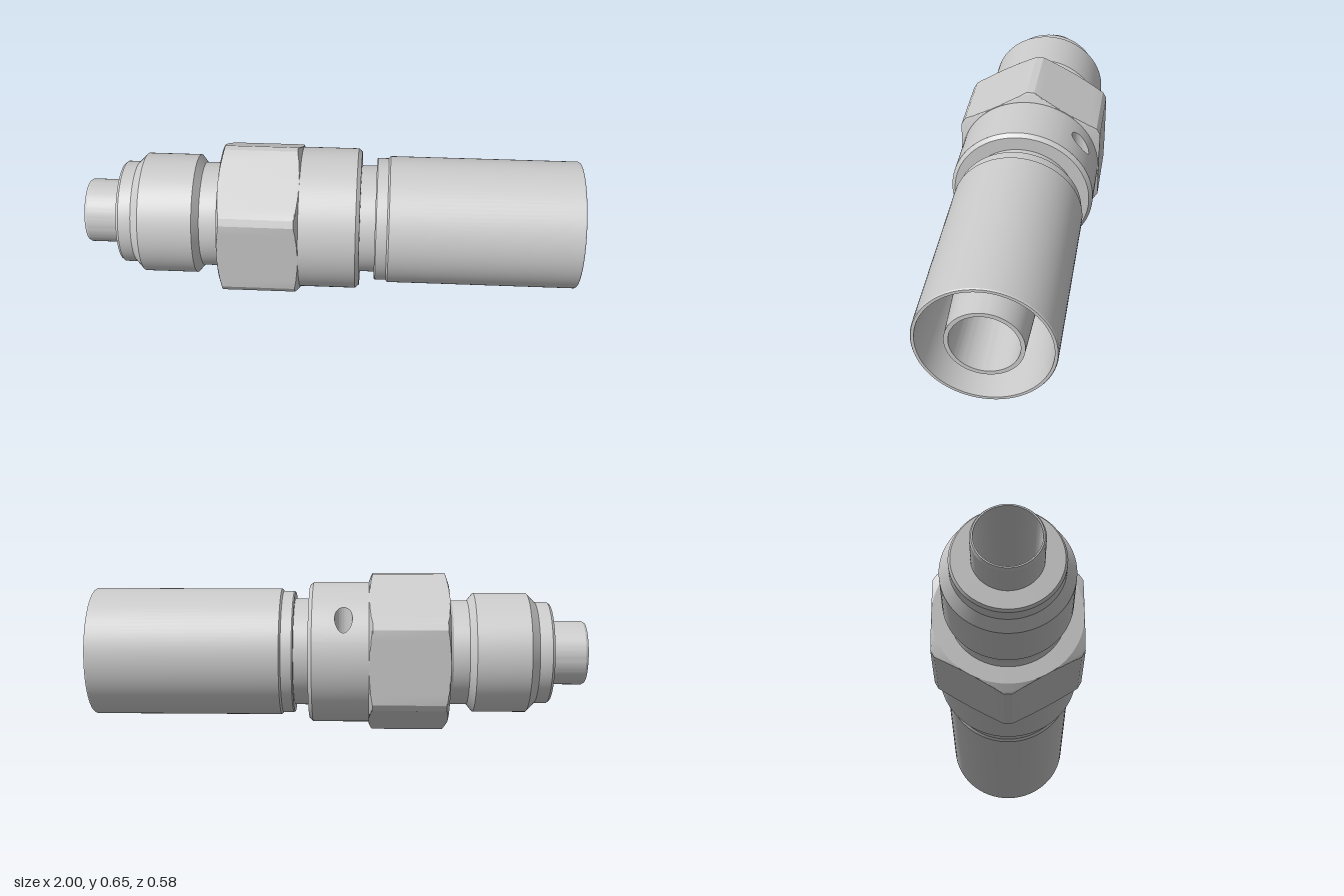
import * as THREE from 'three';
import { toCreasedNormals } from 'three/addons/utils/BufferGeometryUtils.js';

const CREASE = 0.35;
const SEG = 96;
const grey = new THREE.MeshStandardMaterial({ color: 0xcccccc, side: THREE.DoubleSide });

// Turned part along x from [x, radius] pairs
function turned(name, profile, start = 0, length = Math.PI * 2) {
  const geo = new THREE.LatheGeometry(profile.map(([x, r]) => new THREE.Vector2(r, x)), SEG, start, length);
  geo.rotateZ(-Math.PI / 2);
  return finish(name, geo);
}

// Skin over closed loops of [x, y, z] points
function loft(name, loops) {
  const n = loops[0].length;
  const index = [];
  for (let i = 0; i < loops.length - 1; i++) {
    for (let j = 0; j < n; j++) {
      const k = (j + 1) % n;
      const a = i * n + j, b = i * n + k, c = a + n, d = b + n;
      index.push(a, b, d, a, d, c);
    }
  }
  const geo = new THREE.BufferGeometry();
  geo.setAttribute('position', new THREE.Float32BufferAttribute(loops.flat(2), 3));
  geo.setIndex(index);
  return finish(name, geo);
}

function finish(name, geo) {
  const mesh = new THREE.Mesh(toCreasedNormals(geo, CREASE), grey);
  mesh.name = name;
  return mesh;
}

// Hexagon with flattened corners, trimmed by a chamfer cone at both ends
function hexNut() {
  const flat = 0.29, corner = 0.326, x0 = -0.44, x1 = -0.12, bevel = 0.014;
  const edge = Math.atan((corner / flat - Math.cos(Math.PI / 6)) / 0.5);
  const angles = [];
  for (let s = 0; s < 6; s++) {
    const mid = Math.PI / 6 + s * Math.PI / 3;
    for (let i = 0; i < 24; i++) angles.push([mid, -edge + (2 * edge * i) / 24]);
    for (let i = 0; i < 4; i++) angles.push([mid, edge + ((Math.PI / 3 - 2 * edge) * i) / 4]);
  }
  const radius = (a) => (a <= edge + 1e-6 ? flat / Math.cos(a) : corner / Math.cos(a - Math.PI / 6));
  const loop = (x, cap) => angles.map(([mid, a]) => {
    const r = Math.min(radius(a), cap);
    return [x, r * Math.cos(mid + a), r * Math.sin(mid + a)];
  });
  const rings = [[0, 0.18]];
  for (let i = 0; i <= 6; i++) rings.push([(bevel * i) / 6, flat + ((corner + 0.002 - flat) * i) / 6]);
  return loft('hexNut', [
    ...rings.map(([d, cap]) => loop(x0 + d, cap)),
    ...rings.reverse().map(([d, cap]) => loop(x1 - d, cap)),
  ]);
}

// Collar barrel with a blind hole drilled straight down off-centre
function drilledCollar() {
  const group = new THREE.Group();
  group.name = 'collar';
  const R = 0.287, xa = -0.13, xb = 0.105;
  const hole = { x: -0.02, z: -0.22, r: 0.035, floor: 0.04 };
  const mid = Math.asin(hole.z / R), half = 0.35;

  group.add(turned('collarBarrel', [[xa, R], [xb, R]], mid + half - Math.PI / 2, Math.PI * 2 - 2 * half));
  group.add(turned('collarEnd', [[xb, R], [0.12, 0.273], [0.12, 0.2]]));

  const turns = Array.from({ length: 64 }, (_, i) => (i / 64) * Math.PI * 2);
  const disc = (r) => turns.map((a) => [hole.x + r * Math.cos(a), hole.floor, hole.z + r * Math.sin(a)]);
  // Wrapped patch: t = 0 at the hole rim, t = 1 at the rectangular border
  const patch = (t) => turns.map((a) => {
    const c = Math.cos(a), s = Math.sin(a), m = Math.max(Math.abs(c), Math.abs(s));
    const rim = Math.asin((hole.z + hole.r * s) / R);
    const x = THREE.MathUtils.lerp(hole.x + hole.r * c, (xa + xb) / 2 + ((xb - xa) / 2) * (c / m), t);
    const angle = THREE.MathUtils.lerp(rim, mid + half * (s / m), t);
    return [x, R * Math.cos(angle), R * Math.sin(angle)];
  });
  const steps = Array.from({ length: 9 }, (_, i) => patch(i / 8));
  group.add(loft('drilledHole', [disc(0.0005), disc(hole.r), ...steps]));
  return group;
}

export function createModel() {
  const model = new THREE.Group();
  model.name = 'hoseFitting';
  const body = new THREE.Group();
  body.name = 'fittingBody';
  body.position.y = 0.326;
  model.add(body);

  // Through tube: plain at one end, tapered nipple at the other
  body.add(turned('innerTube', [
    [-1, 0.118], [-1, 0.124], [-0.99, 0.13], [0.2, 0.13], [0.2, 0.173], [0.3, 0.173],
    [0.99, 0.143], [0.99, 0.127], [0.2, 0.108], [-0.5, 0.108], [-1, 0.118],
  ]));

  // Stepped nose, barrel and neck
  body.add(turned('noseBarrel', [
    [-0.855, 0.125], [-0.855, 0.2], [-0.845, 0.208], [-0.795, 0.208], [-0.79, 0.213],
    [-0.76, 0.244], [-0.545, 0.244], [-0.52, 0.213], [-0.455, 0.213], [-0.44, 0.222],
  ]));

  body.add(hexNut());
  body.add(drilledCollar());

  // Groove between collar and sleeve
  body.add(turned('groove', [[0.1, 0.218], [0.19, 0.218]]));

  // Hollow sleeve with tapered inside
  body.add(turned('sleeve', [
    [0.18, 0.2], [0.18, 0.246], [0.185, 0.25], [0.228, 0.25], [0.235, 0.259], [0.995, 0.259],
    [1, 0.256], [1, 0.245], [0.3, 0.207], [0.3, 0.165],
  ]));
  return model;
}
